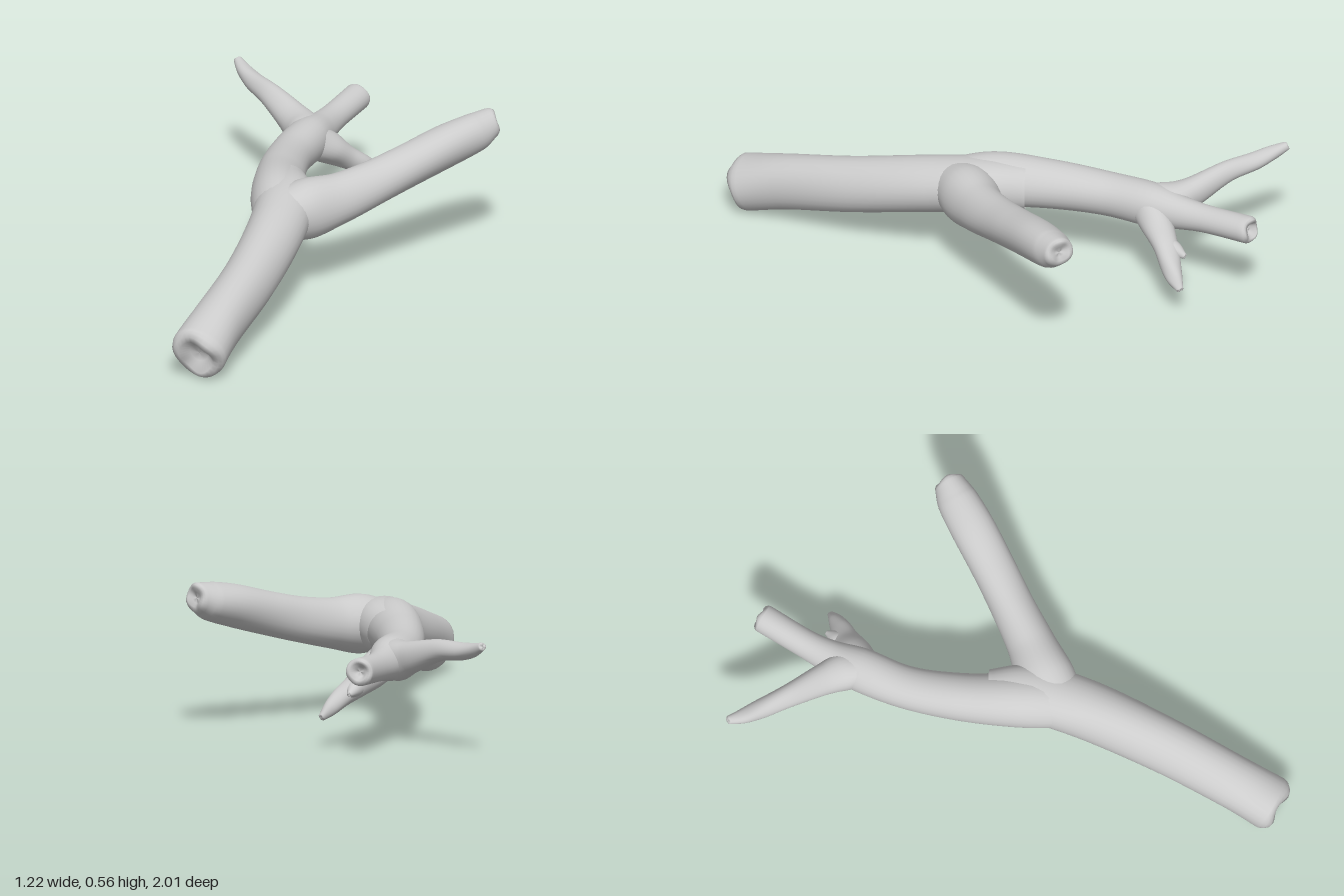
import * as THREE from 'three';

const SIDES = 28;

// Tapered limb through [x, y, z, radius] stations, closed with a rough broken end.
function limb(name, stations, { seed = 0, bump = 0.03, slant = 0, dent = 0.12 } = {}) {
  const curve = new THREE.CatmullRomCurve3(stations.map(s => new THREE.Vector3(s[0], s[1], s[2])));
  const radii = new THREE.CatmullRomCurve3(stations.map((s, i) => new THREE.Vector3(i, s[3], 0)));
  const steps = (stations.length - 1) * 10;
  const rings = [];
  for (let i = 0; i <= steps; i++) rings.push({ t: i / steps, scale: 1, push: 0 });
  // rounded rim, then a slightly sunken middle
  for (const [scale, push] of [[0.95, 0.14], [0.82, 0.26], [0.62, 0.3], [0.35, 0.3 - dent], [0, 0.28 - dent]])
    rings.push({ t: 1, scale, push });

  const positions = [], index = [];
  const up = new THREE.Vector3(0, 1, 0);
  rings.forEach(({ t, scale, push }, j) => {
    const centre = curve.getPoint(t), along = curve.getTangent(t);
    const side = new THREE.Vector3().crossVectors(along, up).normalize();
    const top = new THREE.Vector3().crossVectors(side, along);
    const r = radii.getPoint(t).y;
    for (let k = 0; k < SIDES; k++) {
      const a = k / SIDES * Math.PI * 2;
      const rough = 1 + bump * (Math.sin(2 * a + 5 * t + seed) * 0.5 + Math.sin(3 * a - 9 * t + seed * 2) * 0.5);
      const d = r * scale * rough;
      const cut = t > 0.9 ? (t - 0.9) * 10 : 0;
      const end = r * push * (1 + 0.3 * Math.sin(3 * a + seed)) + cut * slant * Math.sin(a) * d;
      const p = centre.clone().addScaledVector(side, Math.cos(a) * d)
        .addScaledVector(top, Math.sin(a) * d).addScaledVector(along, end);
      positions.push(p.x, p.y, p.z);
      if (j < rings.length - 1) {
        const b = j * SIDES + k, c = j * SIDES + (k + 1) % SIDES;
        index.push(b, c, b + SIDES, c, c + SIDES, b + SIDES);
      }
    }
  });
  const geometry = new THREE.BufferGeometry();
  geometry.setAttribute('position', new THREE.Float32BufferAttribute(positions, 3));
  geometry.setIndex(index);
  geometry.computeVertexNormals();
  const mesh = new THREE.Mesh(geometry,
    new THREE.MeshStandardMaterial({ color: 0xcccccc, side: THREE.DoubleSide }));
  mesh.name = name;
  return mesh;
}

export function createModel() {
  const group = new THREE.Group();
  group.name = 'forkedBranch';

  // Thick stem, from inside the fork down to its broken foot
  group.add(limb('stem', [
    [-0.04, 0.335, -0.12, 0.085], [0.025, 0.335, 0.02, 0.105], [0.07, 0.305, 0.2, 0.107],
    [0.105, 0.235, 0.5, 0.103], [0.113, 0.165, 0.8, 0.1], [0.115, 0.115, 0.955, 0.104],
  ], { seed: 1, bump: 0.05, dent: 0.3 }));

  // Long arm curving back, ending in a stub
  group.add(limb('mainArm', [
    [0.06, 0.32, 0.15, 0.09], [-0.015, 0.34, 0, 0.1], [-0.1, 0.33, -0.2, 0.089],
    [-0.155, 0.32, -0.4, 0.08], [-0.168, 0.32, -0.58, 0.081], [-0.172, 0.318, -0.7, 0.062],
    [-0.17, 0.322, -0.8, 0.052], [-0.158, 0.335, -0.98, 0.052],
  ], { seed: 2, dent: 0.4 }));

  // Arm rising to the left of the fork, with a slanted end
  group.add(limb('sideArm', [
    [0.05, 0.325, 0.13, 0.09], [0.115, 0.335, 0.035, 0.108], [0.2, 0.35, -0.07, 0.091],
    [0.285, 0.38, -0.19, 0.082], [0.37, 0.42, -0.31, 0.08], [0.46, 0.465, -0.44, 0.08],
    [0.525, 0.492, -0.535, 0.073], [0.56, 0.51, -0.585, 0.057],
  ], { seed: 3, bump: 0.05, slant: 0.25, dent: 0.2 }));

  // Web filling the crotch between the arms
  group.add(limb('forkWeb', [
    [0.05, 0.335, 0.16, 0.085], [0.06, 0.338, 0.05, 0.09], [0.06, 0.34, -0.03, 0.062],
    [0.06, 0.34, -0.065, 0.03],
  ], { dent: 0 }));

  // Thin twig reaching out to the right
  group.add(limb('longTwig', [
    [-0.155, 0.32, -0.56, 0.07], [-0.205, 0.325, -0.625, 0.073], [-0.27, 0.345, -0.675, 0.058],
    [-0.4, 0.388, -0.755, 0.041], [-0.5, 0.4, -0.822, 0.034], [-0.555, 0.415, -0.86, 0.027],
    [-0.597, 0.434, -0.897, 0.016],
  ], { seed: 4, bump: 0.08, dent: 0 }));

  // Short twig pointing down, with a small snag on its side
  group.add(limb('shortTwig', [
    [-0.15, 0.32, -0.56, 0.06], [-0.108, 0.278, -0.63, 0.06], [-0.065, 0.232, -0.685, 0.046],
    [-0.02, 0.192, -0.73, 0.038], [0.012, 0.157, -0.768, 0.029], [0.034, 0.13, -0.8, 0.014],
  ], { seed: 5, bump: 0.08, dent: 0 }));
  group.add(limb('snag', [
    [-0.07, 0.235, -0.69, 0.035], [-0.067, 0.222, -0.73, 0.027], [-0.062, 0.212, -0.768, 0.01],
  ], { seed: 6, dent: 0 }));

  return group;
}
